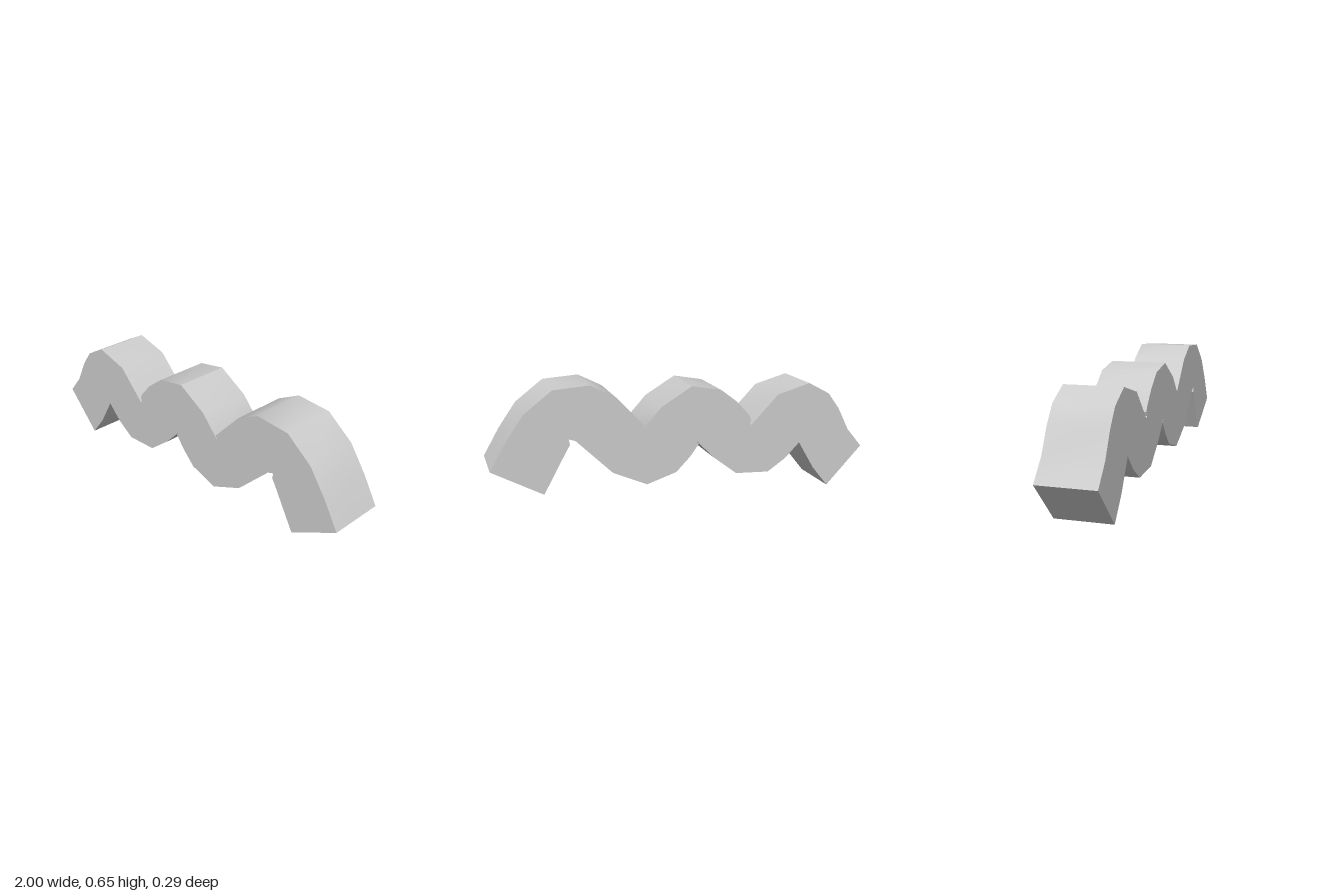
import * as THREE from 'three';
import { toCreasedNormals } from 'three/addons/utils/BufferGeometryUtils.js';

const DEPTH = 0.286;

// Upper edge of the wavy band, left end to right end
const upperEdge = [
  [-1, 0.206], [-0.914, 0.307], [-0.85, 0.43], [-0.786, 0.516], [-0.668, 0.58], [-0.487, 0.532],
  [-0.337, 0.38], [-0.328, 0.39], [-0.337, 0.412], [-0.32, 0.44], [-0.257, 0.51], [-0.166, 0.58],
  [-0.01, 0.61], [0.15, 0.516], [0.26, 0.395], [0.262, 0.386], [0.24, 0.428],
  [0.385, 0.585], [0.508, 0.65], [0.69, 0.639], [0.83, 0.532], [0.92, 0.404], [1, 0.267],
];

// Lower edge, right end back to left end
const lowerEdge = [
  [0.75, 0.126], [0.636, 0.33], [0.615, 0.365], [0.62, 0.393], [0.588, 0.382], [0.406, 0.2],
  [0.23, 0.12], [0.075, 0.168], [0, 0.243], [-0.048, 0.307], [-0.027, 0.332], [-0.128, 0.227],
  [-0.257, 0.126], [-0.44, 0.115], [-0.54, 0.18], [-0.62, 0.26], [-0.71, 0.11], [-0.8, 0],
];

export function createModel() {
  const group = new THREE.Group();
  const outline = [...upperEdge, ...lowerEdge].map(([x, y]) => new THREE.Vector2(x, y));

  // Thick wavy band: one outline extruded from front to back
  const solid = new THREE.ExtrudeGeometry(new THREE.Shape(outline), { depth: DEPTH, bevelEnabled: false });
  solid.translate(0, 0, -DEPTH / 2);

  // Gentle bends shade smoothly, sharp bends stay creased
  const band = new THREE.Mesh(
    toCreasedNormals(solid, THREE.MathUtils.degToRad(36)),
    new THREE.MeshStandardMaterial({ color: 0xcccccc }),
  );
  band.name = 'wavyBand';
  group.add(band);
  return group;
}
